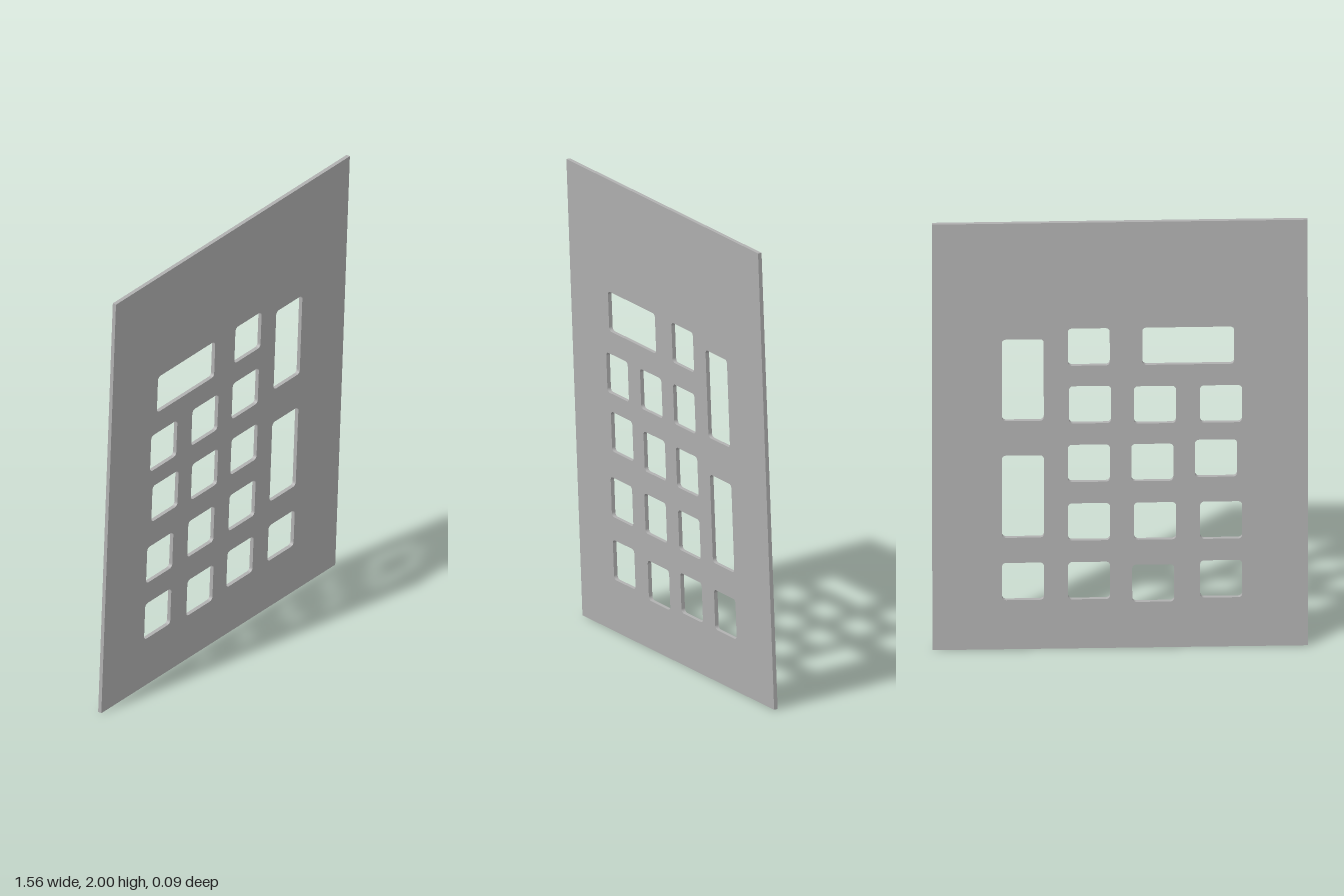
import * as THREE from 'three';

// Adds a rounded rectangle outline to a path
function roundedRect(path, x, y, w, h, r) {
  path.moveTo(x + r, y);
  path.lineTo(x + w - r, y);
  path.absarc(x + w - r, y + r, r, -Math.PI / 2, 0);
  path.lineTo(x + w, y + h - r);
  path.absarc(x + w - r, y + h - r, r, 0, Math.PI / 2);
  path.lineTo(x + r, y + h);
  path.absarc(x + r, y + h - r, r, Math.PI / 2, Math.PI);
  path.lineTo(x, y + r);
  path.absarc(x + r, y + r, r, Math.PI, Math.PI * 1.5);
  return path;
}

export function createModel() {
  const group = new THREE.Group();
  const grey = new THREE.MeshStandardMaterial({ color: 0xb0b0b0 });
  grey.name = 'grey';

  const halfWidth = 0.782, height = 1.999, thickness = 0.017;
  const key = 0.175, long = 0.383, radius = 0.017;

  // Key openings: left edge, bottom edge, width, height
  const openings = [
    // bottom row
    [-0.508, 0.23, key, key], [-0.225, 0.214, key, key],
    [0.042, 0.23, key, key], [0.317, 0.23, key, key],
    // second row
    [-0.508, 0.506, key, key], [-0.233, 0.506, key, key], [0.042, 0.506, key, key],
    // third row
    [-0.487, 0.797, key, key], [-0.222, 0.781, key, key], [0.042, 0.781, key, key],
    // fourth row
    [-0.508, 1.052, key, key], [-0.233, 1.052, key, key], [0.037, 1.056, key, key],
    // top row
    [-0.476, 1.327, long, key], [0.042, 1.327, key, key],
    // tall openings on the right column
    [0.317, 0.523, key, long + 0.003], [0.317, 1.071, key, long],
  ];

  // Flat plate pierced by the openings
  const plate = new THREE.Shape([
    new THREE.Vector2(-halfWidth, 0), new THREE.Vector2(halfWidth, 0),
    new THREE.Vector2(halfWidth, height), new THREE.Vector2(-halfWidth, height),
  ]);
  for (const [x, y, w, h] of openings) {
    plate.holes.push(roundedRect(new THREE.Path(), x, y, w, h, radius));
  }
  const geometry = new THREE.ExtrudeGeometry(plate, {
    depth: thickness, bevelEnabled: false, curveSegments: 6,
  });
  geometry.translate(0, -height / 2, -thickness / 2);

  // The plate leans slightly forward at the top
  const mesh = new THREE.Mesh(geometry, grey);
  mesh.name = 'keypadPlate';
  mesh.rotation.x = Math.atan(0.078 / 2);
  mesh.position.y = 1;
  group.add(mesh);

  return group;
}
